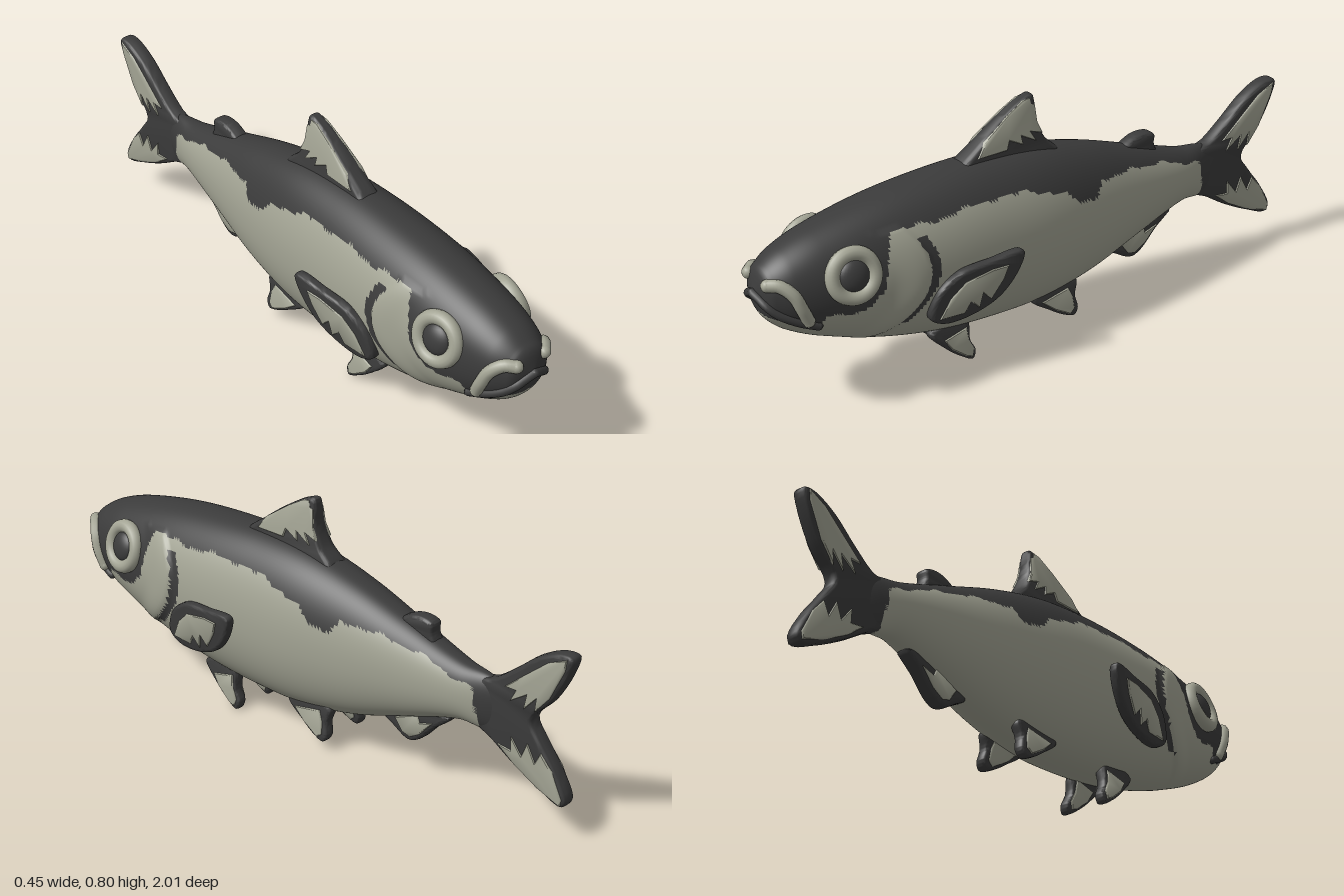
import * as THREE from 'three';
import { toCreasedNormals } from 'three/addons/utils/BufferGeometryUtils.js';

const dark = new THREE.MeshStandardMaterial({ color: 0x3b3b3b });
dark.name = 'charcoal';
const light = new THREE.MeshStandardMaterial({ color: 0xa3a494 });
light.name = 'silver';

// Body stations: z, top y, bottom y, half width
const PROFILE = [
  [0.992, 0.43, 0.43, 0], [0.975, 0.49, 0.365, 0.06], [0.95, 0.515, 0.325, 0.085],
  [0.9, 0.545, 0.285, 0.112], [0.8, 0.58, 0.235, 0.138], [0.6, 0.62, 0.165, 0.165],
  [0.4, 0.64, 0.12, 0.174], [0.2, 0.645, 0.1, 0.17], [0, 0.63, 0.1, 0.16],
  [-0.2, 0.585, 0.135, 0.135], [-0.4, 0.52, 0.2, 0.1], [-0.6, 0.455, 0.262, 0.063],
  [-0.7, 0.44, 0.258, 0.036], [-0.76, 0.41, 0.28, 0.012],
];
// Lower edge of the dark back: z, y
const EDGE = [
  [1, 0.37], [0.93, 0.345], [0.84, 0.31], [0.82, 0.35], [0.7, 0.34], [0.64, 0.39],
  [0.615, 0.5], [0.6, 0.56], [0.45, 0.55], [0.3, 0.56], [0.1, 0.55], [0.03, 0.52],
  [-0.05, 0.5], [-0.1, 0.455], [-0.17, 0.445], [-0.2, 0.49], [-0.35, 0.48],
  [-0.5, 0.45], [-0.6, 0.415], [-0.66, 0.4], [-0.7, 0.2],
];

// Interpolates column k of a table with falling z
function sample(table, z, k, smooth) {
  const last = table.length - 1;
  if (z >= table[0][0]) return table[0][k];
  if (z <= table[last][0]) return table[last][k];
  let i = 0;
  while (table[i + 1][0] > z) i++;
  const [a, b] = [table[i], table[i + 1]];
  const d = b[0] - a[0], t = (z - a[0]) / d;
  if (!smooth) return a[k] + (b[k] - a[k]) * t;
  const slope = (n) => {
    const p = table[Math.max(n - 1, 0)], q = table[Math.min(n + 1, last)];
    return ((q[k] - p[k]) / (q[0] - p[0])) * d;
  };
  const t2 = t * t, t3 = t2 * t;
  return (2 * t3 - 3 * t2 + 1) * a[k] + (t3 - 2 * t2 + t) * slope(i)
    + (3 * t2 - 2 * t3) * b[k] + (t3 - t2) * slope(i + 1);
}

const POWER = 2.1;
const gillEdge = (y) => 0.48 + 3.5 * (y - 0.42) ** 2;
const section = (z) => {
  const [top, bottom, w] = [1, 2, 3].map((k) => sample(PROFILE, z, k, true));
  return { c: (top + bottom) / 2, h: Math.abs(top - bottom) / 2, w: Math.max(w, 0) };
};
// Half width of the body at a side position
function sideX(z, y) {
  const { c, h, w } = section(z);
  const u = Math.min(Math.abs((y - c) / Math.max(h, 1e-4)), 1);
  return w * (1 - u ** POWER) ** (1 / POWER);
}

function isDark(z, y) {
  const g = z - gillEdge(y);
  if (y > 0.25 && y < 0.52 && g > -0.03 && g < 0.005) return true;
  return y > sample(EDGE, z, 1, false) + 0.006 * Math.sin(z * 61) * Math.sin(z * 23);
}

// Body skin from rings, with a raised gill cover, split into two colours
function makeBody() {
  const rows = 170, cols = 112, pos = [], sides = [[], []];
  const root = (v) => Math.sign(v) * Math.abs(v) ** (2 / POWER);
  for (let i = 0; i <= rows; i++) {
    const z = 0.992 - 1.752 * (i / rows) ** 1.3;
    const { c, h, w } = section(z);
    for (let j = 0; j < cols; j++) {
      const a = (j / cols) * Math.PI * 2;
      const y = c + h * root(Math.sin(a));
      const ahead = z - gillEdge(y);
      const cover = THREE.MathUtils.smoothstep(ahead, -0.005, 0.012)
        * (1 - THREE.MathUtils.smoothstep(ahead, 0.03, 0.13)) * (y < 0.56 ? 1 : 0);
      pos.push((w + 0.01 * cover) * root(Math.cos(a)), y, z);
    }
  }
  const add = (...t) => {
    const mean = (k) => (pos[t[0] * 3 + k] + pos[t[1] * 3 + k] + pos[t[2] * 3 + k]) / 3;
    sides[isDark(mean(2), mean(1)) ? 0 : 1].push(...t);
  };
  for (let i = 0; i < rows; i++) for (let j = 0; j < cols; j++) {
    const a = i * cols + j, b = i * cols + (j + 1) % cols;
    add(a, a + cols, b);
    add(b, a + cols, b + cols);
  }
  const geo = new THREE.BufferGeometry();
  geo.setAttribute('position', new THREE.Float32BufferAttribute(pos, 3));
  geo.setIndex(sides[0].concat(sides[1]));
  geo.addGroup(0, sides[0].length, 0);
  geo.addGroup(sides[0].length, sides[1].length, 1);
  geo.computeVertexNormals();
  const mesh = new THREE.Mesh(geo, [dark, light]);
  mesh.name = 'body';
  return mesh;
}

// Rounded slab in the side plane; bend(x, y, z) returns the new x
function slab(name, pts, half, mat, bend, smooth) {
  const shape = new THREE.Shape(smooth
    ? new THREE.CatmullRomCurve3(pts.map(([z, y]) => new THREE.Vector3(z, y, 0)), true).getPoints(70).slice(0, -1)
      .map((p) => new THREE.Vector2(p.x, p.y))
    : pts.map(([z, y]) => new THREE.Vector2(z, y)));
  const bevel = smooth ? 0.012 : 0.003, inset = smooth ? half * 0.6 : 0.003;
  let geo = new THREE.ExtrudeGeometry(shape, {
    depth: 2 * (half - inset), bevelThickness: inset, bevelSize: bevel,
    bevelOffset: -bevel, bevelSegments: smooth ? 4 : 1,
  });
  geo.translate(0, 0, inset - half).rotateY(-Math.PI / 2);
  const p = geo.attributes.position;
  for (let i = 0; i < p.count; i++) p.setX(i, bend(p.getX(i), p.getY(i), p.getZ(i)));
  geo.clearGroups();
  geo = toCreasedNormals(geo, 0.8);
  const mesh = new THREE.Mesh(geo, mat);
  mesh.name = name;
  return mesh;
}

// Dark fin with light inlays showing on both faces
function makeFin(name, outline, panels, half, bend = (x) => x) {
  const fin = new THREE.Group();
  fin.name = name;
  fin.add(slab(name + 'Edge', outline, half, dark, bend, true));
  panels.forEach((p) => fin.add(slab(name + 'Panel', p, half + 0.004, light, bend, false)));
  return fin;
}

// Tube lying on the body side, through points of z, y
function lip(name, pts, radius, mat, s) {
  const path = pts.map(([z, y]) => new THREE.Vector3(s * sideX(z, y), y, z));
  const group = new THREE.Group();
  group.name = name;
  group.add(new THREE.Mesh(new THREE.TubeGeometry(new THREE.CatmullRomCurve3(path), 24, radius, 10), mat));
  for (const end of [path[0], path[path.length - 1]]) {
    const cap = new THREE.Mesh(new THREE.SphereGeometry(radius, 12, 8), mat);
    cap.position.copy(end);
    group.add(cap);
  }
  return group;
}

function makeEye(s) {
  const eye = new THREE.Group(), z = 0.735, y = 0.465, e = 0.01;
  eye.name = s > 0 ? 'leftEye' : 'rightEye';
  const x = sideX(z, y);
  const n = new THREE.Vector3(s, -(sideX(z, y + e) - x) / e, -(sideX(z + e, y) - x) / e).normalize();
  eye.position.set(s * x, y, z);
  eye.quaternion.setFromUnitVectors(new THREE.Vector3(0, 0, 1), n);
  const ring = new THREE.Mesh(new THREE.TorusGeometry(0.067, 0.023, 12, 40), light);
  ring.name = 'eyeRing';
  const pupil = new THREE.Mesh(new THREE.SphereGeometry(0.05, 32, 16), dark);
  pupil.name = 'pupil';
  pupil.scale.z = 0.5;
  eye.add(ring, pupil);
  return eye;
}

export function createModel() {
  const fish = new THREE.Group();
  fish.name = 'fish';
  fish.add(makeBody());

  // Fins on the centre line
  fish.add(makeFin('dorsalFin',
    [[0.28, 0.62], [0.2, 0.69], [0.1, 0.76], [0.04, 0.793], [0, 0.803], [-0.008, 0.78], [-0.012, 0.72],
      [-0.04, 0.655], [-0.09, 0.6], [0.1, 0.59]],
    [[[0.22, 0.652], [0.19, 0.695], [0.1, 0.757], [0.04, 0.791], [0.015, 0.795], [0.01, 0.775], [-0.003, 0.77],
      [-0.008, 0.715], [-0.025, 0.675], [0.02, 0.69], [0.0, 0.655], [0.055, 0.685], [0.05, 0.655], [0.1, 0.68], [0.11, 0.652]]],
    0.034, (x, y) => x * (1.1 - 3.2 * (y - 0.64))));
  fish.add(makeFin('adiposeFin',
    [[-0.35, 0.51], [-0.4, 0.545], [-0.45, 0.552], [-0.485, 0.54], [-0.485, 0.51], [-0.5, 0.46], [-0.4, 0.47]], [], 0.026));
  fish.add(makeFin('analFin',
    [[-0.28, 0.19], [-0.34, 0.148], [-0.4, 0.12], [-0.44, 0.135], [-0.5, 0.195], [-0.56, 0.25], [-0.42, 0.25]],
    [[[-0.35, 0.185], [-0.38, 0.145], [-0.41, 0.137], [-0.45, 0.16], [-0.5, 0.215], [-0.45, 0.2], [-0.44, 0.225]]], 0.026));
  fish.add(makeFin('tailFin',
    [[-0.66, 0.42], [-0.72, 0.445], [-0.79, 0.497], [-0.88, 0.57], [-0.96, 0.605], [-1, 0.6], [-0.985, 0.54],
      [-0.93, 0.44], [-0.865, 0.36], [-0.9, 0.3], [-0.96, 0.22], [-1, 0.14], [-0.985, 0.115], [-0.9, 0.145],
      [-0.8, 0.195], [-0.72, 0.245], [-0.66, 0.28]],
    [[[-0.77, 0.44], [-0.84, 0.5], [-0.92, 0.567], [-0.985, 0.597], [-0.98, 0.56], [-0.93, 0.455], [-0.88, 0.395],
      [-0.885, 0.44], [-0.84, 0.39], [-0.85, 0.44], [-0.79, 0.4], [-0.81, 0.44]],
    [[-0.75, 0.245], [-0.81, 0.2], [-0.9, 0.152], [-0.985, 0.122], [-0.99, 0.145], [-0.95, 0.225], [-0.91, 0.27],
      [-0.89, 0.23], [-0.86, 0.285], [-0.84, 0.235], [-0.8, 0.285], [-0.8, 0.24]]], 0.027));

  // Mirrored parts
  for (const s of [1, -1]) {
    const side = s > 0 ? 'left' : 'right';
    fish.add(makeEye(s));
    fish.add(lip(side + 'UpperLip', [[0.972, 0.468], [0.945, 0.468], [0.915, 0.44], [0.895, 0.395], [0.872, 0.345]], 0.02, light, s));
    fish.add(lip(side + 'LowerLip', [[0.84, 0.318], [0.9, 0.345], [0.95, 0.375], [0.975, 0.4], [0.985, 0.418], [0.992, 0.43]], 0.014, dark, s));
    fish.add(makeFin(side + 'PectoralFin',
      [[0.49, 0.25], [0.47, 0.33], [0.4, 0.385], [0.29, 0.402], [0.18, 0.408], [0.19, 0.35], [0.25, 0.27], [0.34, 0.228], [0.44, 0.22]],
      [[[0.465, 0.245], [0.43, 0.31], [0.38, 0.355], [0.29, 0.375], [0.235, 0.375], [0.25, 0.33], [0.29, 0.27],
        [0.32, 0.3], [0.33, 0.25], [0.36, 0.28], [0.38, 0.245]]],
      0.018, (x, y, z) => x + s * (0.165 + 0.1 * (0.48 - z) + 0.1 * (y - 0.28))));
    fish.add(makeFin(side + 'BreastFin',
      [[0.43, 0.13], [0.38, 0.07], [0.32, 0.022], [0.28, 0.003], [0.268, 0.03], [0.285, 0.07], [0.29, 0.14], [0.36, 0.16]],
      [[[0.385, 0.1], [0.36, 0.063], [0.31, 0.025], [0.285, 0.015], [0.278, 0.04], [0.295, 0.075], [0.3, 0.12]]],
      0.02, (x, y) => x + s * (0.068 - 0.1 * (y - 0.05))));
    fish.add(makeFin(side + 'PelvicFin',
      [[0.05, 0.13], [-0.02, 0.075], [-0.07, 0.045], [-0.11, 0.033], [-0.127, 0.055], [-0.12, 0.1], [-0.13, 0.15], [-0.04, 0.17]],
      [[[0.015, 0.115], [-0.03, 0.078], [-0.09, 0.045], [-0.108, 0.06], [-0.105, 0.1], [-0.09, 0.135]]],
      0.02, (x, y) => x + s * (0.072 - 0.15 * (y - 0.09))));
  }
  return fish;
}
